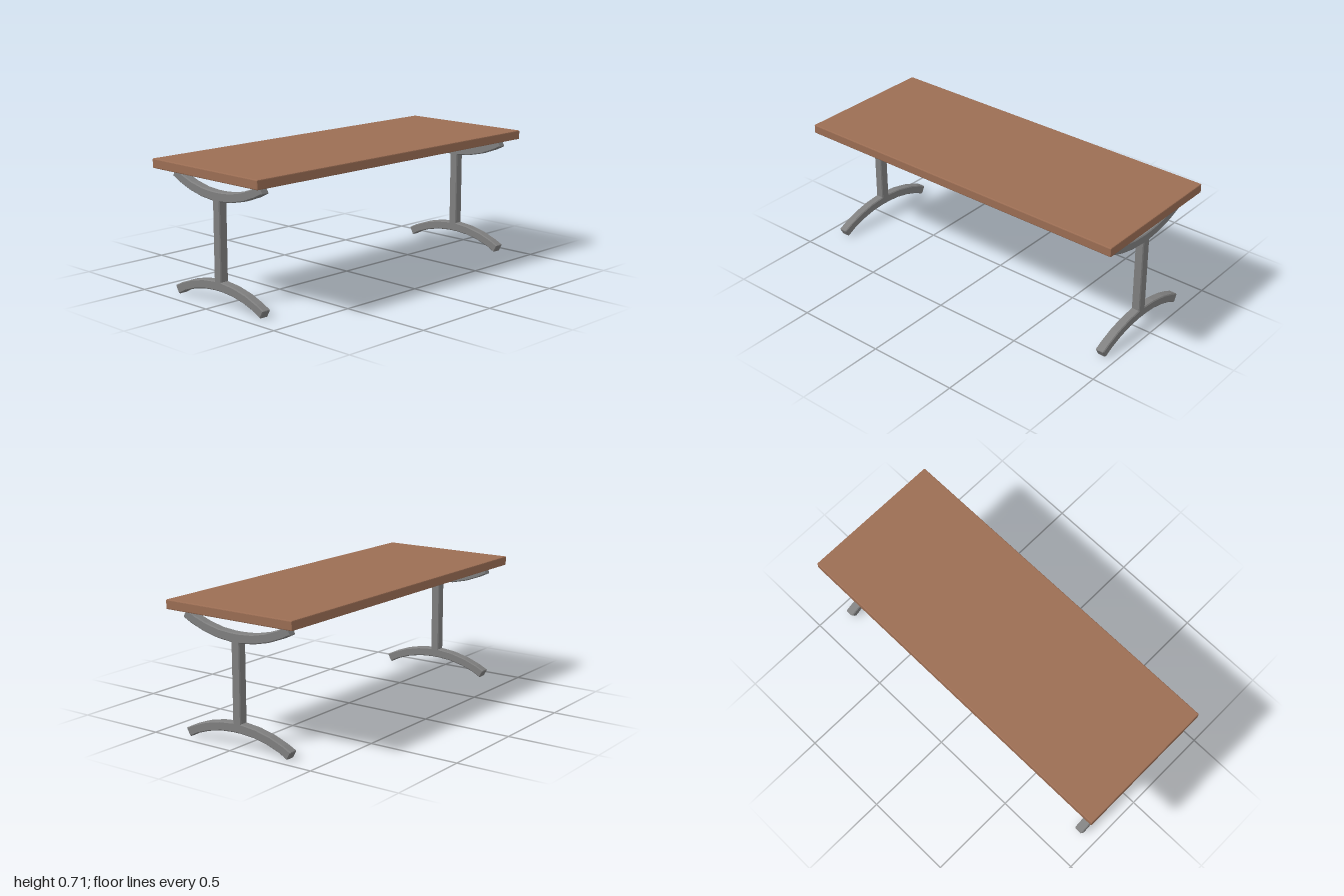
import * as THREE from 'three';
import { RoundedBoxGeometry } from 'three/addons/geometries/RoundedBoxGeometry.js';

const LEG_HEIGHT = 0.662;
const DEPTH = 0.05;
const BEVEL = 0.005;

// Right half of the arched foot: upper edge outwards, then lower edge back inwards
const UPPER = [[0.025, 0.126], [0.115, 0.117], [0.207, 0.096], [0.288, 0.066], [0.335, 0.043]];
const LOWER = [[0.337, 0.039], [0.317, 0.003], [0.309, 0.001], [0.262, 0.026], [0.187, 0.052], [0.104, 0.07], [0.027, 0.076]];

// Chamfered bar cut from an outline and centred on z = 0
function bar(points) {
  const shape = new THREE.Shape(points.map(([x, y]) => new THREE.Vector2(x, y)));
  const geometry = new THREE.ExtrudeGeometry(shape, {
    depth: DEPTH - 2 * BEVEL,
    bevelEnabled: true,
    bevelThickness: BEVEL,
    bevelSize: BEVEL,
    bevelOffset: -BEVEL,
    bevelSegments: 1,
  });
  return geometry.translate(0, 0, -DEPTH / 2 + BEVEL);
}

export function createModel() {
  const group = new THREE.Group();
  const wood = new THREE.MeshStandardMaterial({ name: 'wood', color: 0x9c6e54 });
  const metal = new THREE.MeshStandardMaterial({ name: 'grey metal', color: 0x808080 });

  const add = (parent, name, geometry, material) => {
    const mesh = new THREE.Mesh(geometry, material);
    mesh.name = name;
    parent.add(mesh);
    return mesh;
  };

  // Table top with small chamfers on every edge
  const topGeometry = new RoundedBoxGeometry(0.796, 0.05, 2, 1, 0.005);
  topGeometry.computeVertexNormals();
  add(group, 'tableTop', topGeometry, wood).position.y = LEG_HEIGHT + 0.025;

  // Arched foot, the same arch turned over as the support, and the post between
  const half = [...UPPER, ...LOWER];
  const mirrored = half.map(([x, y]) => [-x, y]).reverse();
  const archGeometry = bar([...half, ...mirrored]);
  const postGeometry = bar([[-0.026, 0.1], [0.026, 0.1], [0.026, LEG_HEIGHT - 0.1], [-0.026, LEG_HEIGHT - 0.1]]);

  for (const [name, z] of [['frontLeg', 0.896], ['backLeg', -0.919]]) {
    const leg = new THREE.Group();
    leg.name = name;
    leg.position.z = z;
    add(leg, 'foot', archGeometry, metal);
    add(leg, 'post', postGeometry, metal);
    const support = add(leg, 'topSupport', archGeometry, metal);
    support.rotation.z = Math.PI;
    support.position.y = LEG_HEIGHT;
    group.add(leg);
  }
  return group;
}
